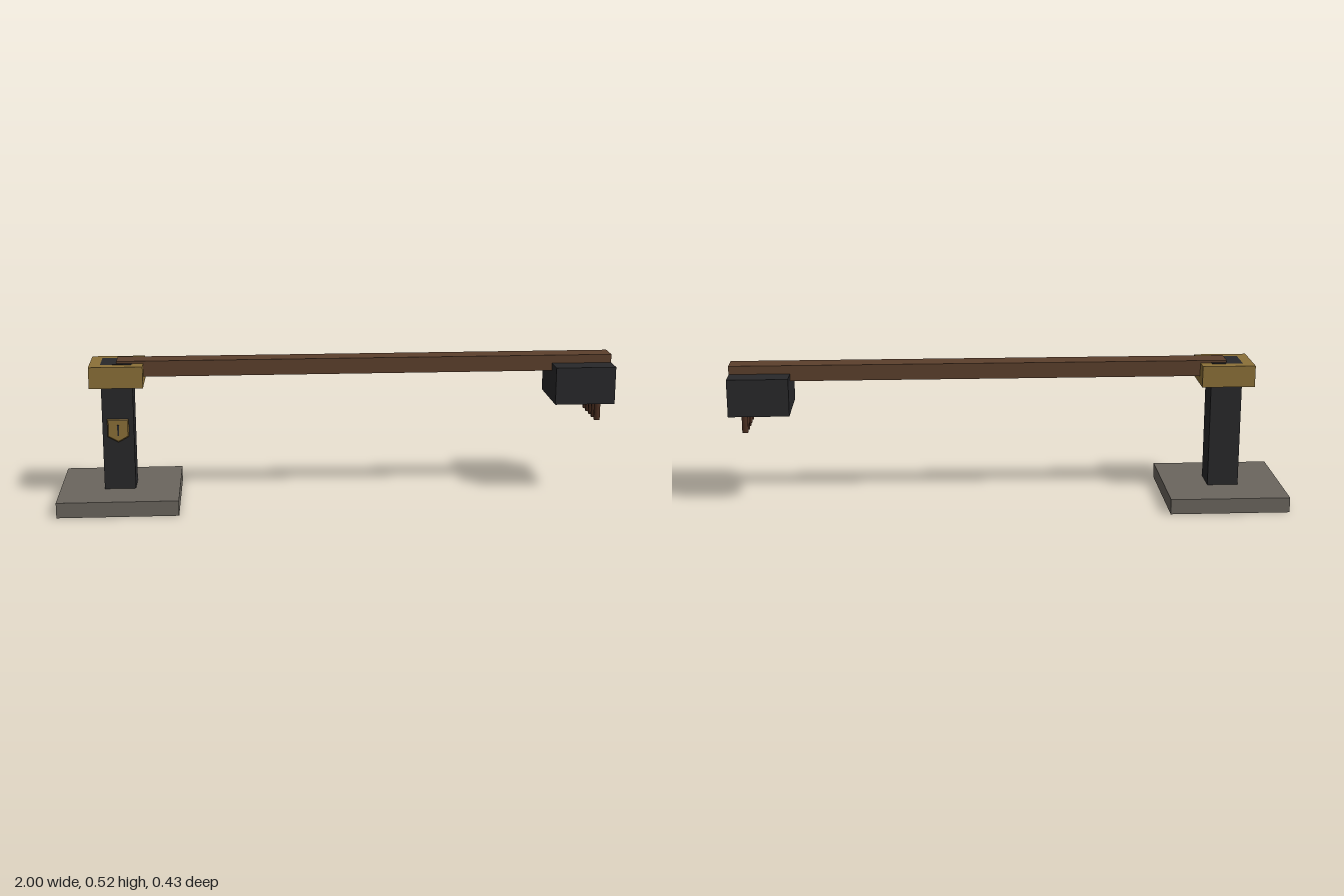
import * as THREE from 'three';

const mat = (color) => new THREE.MeshStandardMaterial({ color });

export function createModel() {
  const model = new THREE.Group();
  const stone = mat(0x6b665e), iron = mat(0x28282a), brass = mat(0x8c7038);
  const wood = mat(0x5c402c), darkWood = mat(0x4a2e20);
  const postX = -0.785;

  const add = (name, geometry, material, x, y, z) => {
    const mesh = new THREE.Mesh(geometry, material);
    mesh.name = name;
    mesh.position.set(x, y, z);
    model.add(mesh);
    return mesh;
  };
  // Box given by its minimum and maximum corners
  const box = (name, material, [x0, y0, z0], [x1, y1, z1]) =>
    add(name, new THREE.BoxGeometry(x1 - x0, y1 - y0, z1 - z0), material,
      (x0 + x1) / 2, (y0 + y1) / 2, (z0 + z1) / 2);

  // Stand
  box('base', stone, [-1, 0, -0.217], [-0.57, 0.055, 0.217]);
  box('post', iron, [postX - 0.056, 0.055, -0.056], [postX + 0.056, 0.514, 0.056]);
  box('collar', brass, [postX - 0.095, 0.436, -0.095], [postX + 0.095, 0.513, 0.095]);

  // Beam and its end block
  box('beam', wood, [postX, 0.465, -0.04], [1, 0.522, 0.04]);
  box('endBlock', iron, [0.783, 0.357, -0.121], [0.999, 0.492, 0.121]);

  // Row of pegs under the block
  const peg = new THREE.CylinderGeometry(0.0115, 0.0115, 0.08, 8);
  peg.rotateY(Math.PI / 8);
  for (let i = -2; i <= 2; i++) {
    add('peg', peg, darkWood, 0.944, 0.331, i * 0.0435);
  }

  // Shield-shaped plate on the front of the post
  const outline = new THREE.Shape([
    [-0.034, 0.04], [0.034, 0.04], [0.034, -0.018], [0, -0.037], [-0.034, -0.018],
  ].map(([x, y]) => new THREE.Vector2(x, y)));
  const plate = new THREE.ExtrudeGeometry(outline, {
    depth: 0.004, bevelEnabled: true, bevelThickness: 0.003, bevelSize: 0.004, bevelSegments: 1,
  });
  add('shieldPlate', plate, brass, postX, 0.272, 0.059);
  box('plateSlot', iron, [postX - 0.003, 0.255, 0.062], [postX + 0.003, 0.295, 0.067]);

  return model;
}
